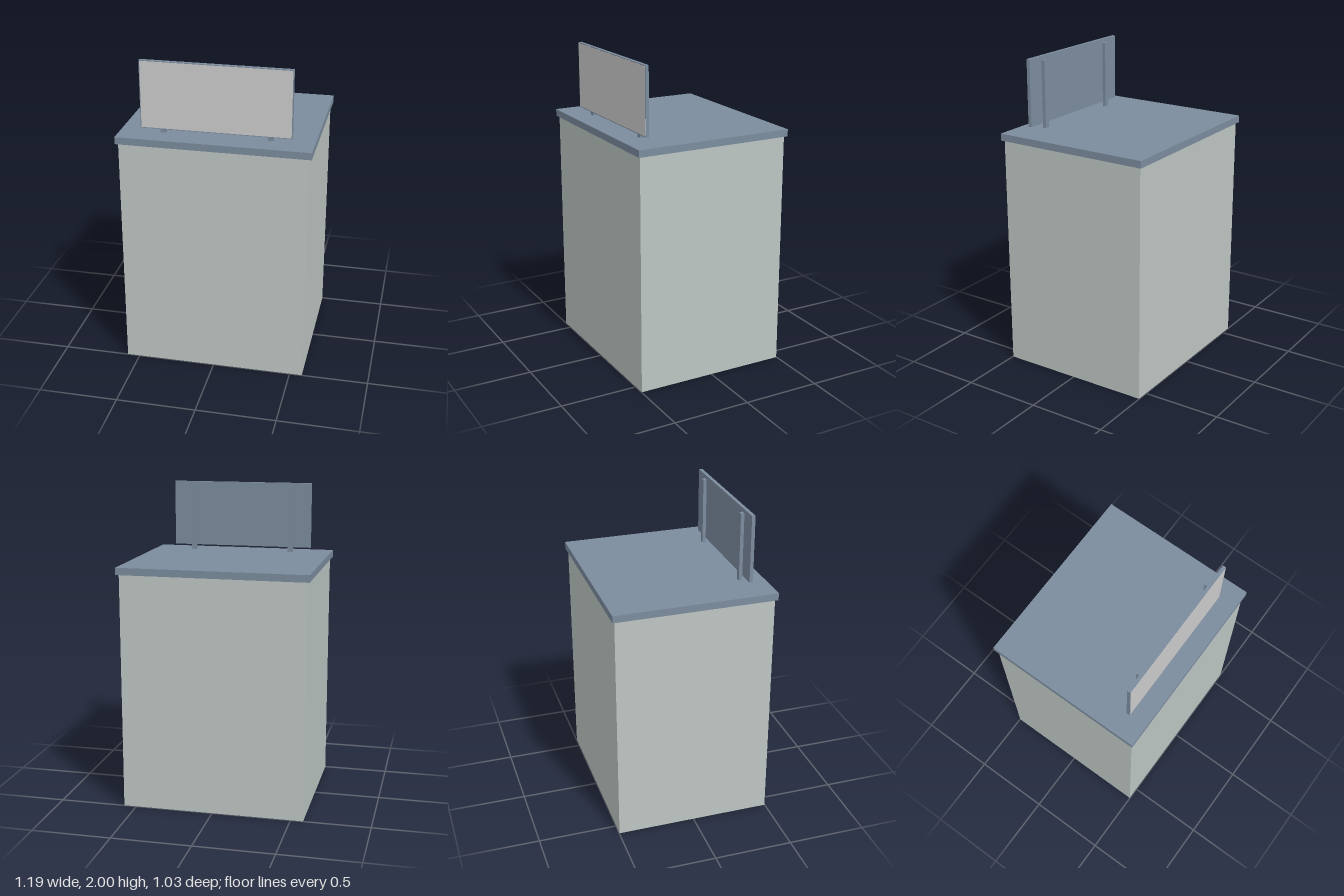
import * as THREE from 'three';

const material = (color) => new THREE.MeshStandardMaterial({ color });

export function createModel() {
  const model = new THREE.Group();
  model.name = 'kioskWithSign';

  const wall = material(0xbdc6c3);
  const trim = material(0x7b8c9e);
  const grey = material(0xcccccc);

  // Box given by its [min, max] range on each axis
  function box(name, mat, [x0, x1], [y0, y1], [z0, z1], parent = model) {
    const mesh = new THREE.Mesh(new THREE.BoxGeometry(x1 - x0, y1 - y0, z1 - z0), mat);
    mesh.position.set((x0 + x1) / 2, (y0 + y1) / 2, (z0 + z1) / 2);
    mesh.name = name;
    parent.add(mesh);
    return mesh;
  }

  // Main block and its overhanging slab
  box('body', wall, [-0.58, 0.58], [0, 1.5], [-0.498, 0.498]);
  box('roofSlab', trim, [-0.597, 0.597], [1.5, 1.545], [-0.513, 0.513]);

  // Sign standing near the front edge
  const sign = new THREE.Group();
  sign.name = 'sign';
  model.add(sign);
  box('signPanel', trim, [-0.464, 0.464], [1.575, 2], [0.377, 0.399], sign);
  box('signFace', grey, [-0.459, 0.459], [1.58, 1.995], [0.398, 0.4], sign);

  // Posts behind the panel
  for (const [name, x] of [['leftPost', 0.33], ['rightPost', -0.33]]) {
    box(name, trim, [x - 0.016, x + 0.016], [1.545, 1.975], [0.355, 0.377], sign);
  }

  return model;
}
